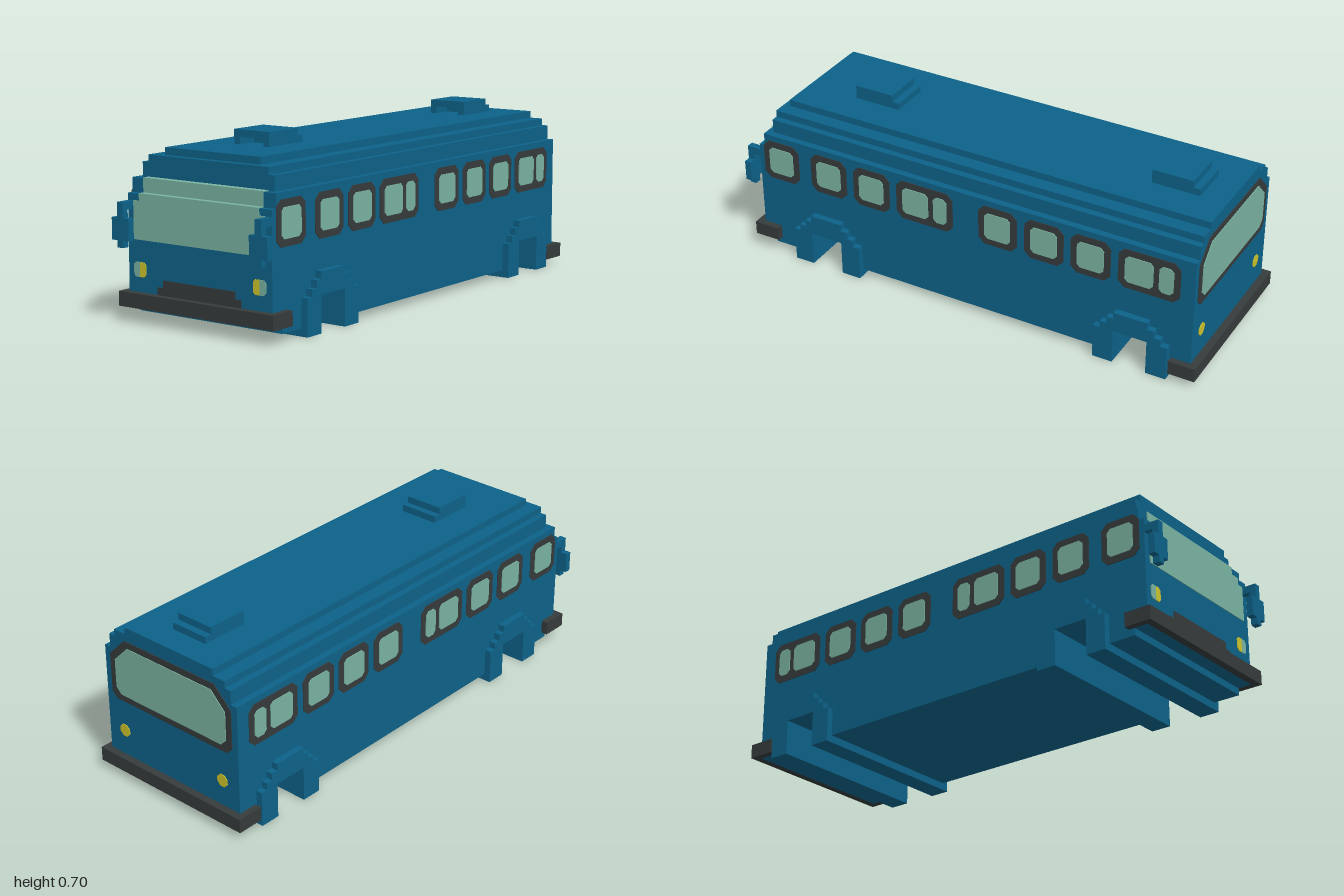
import * as THREE from 'three';

const material = (name, color) => {
  const m = new THREE.MeshStandardMaterial({ color });
  m.name = name;
  return m;
};

export function createModel() {
  const bus = new THREE.Group();
  bus.name = 'bus';
  const blue = material('blue paint', 0x0d6289);
  const glass = material('pale green glass', 0x7ab3a1);
  const dark = material('dark trim', 0x363b3b);
  const yellow = material('yellow lamp', 0xcdc52c);

  const add = (name, geometry, mat) => {
    const mesh = new THREE.Mesh(geometry, mat);
    mesh.name = name;
    bus.add(mesh);
    return mesh;
  };
  // Box given by its limits on each axis
  const box = (name, mat, x0, x1, y0, y1, z0, z1) => {
    const mesh = add(name, new THREE.BoxGeometry(x1 - x0, y1 - y0, z1 - z0), mat);
    mesh.position.set((x0 + x1) / 2, (y0 + y1) / 2, (z0 + z1) / 2);
    return mesh;
  };
  const extrude = (points, depth) => new THREE.ExtrudeGeometry(
    new THREE.Shape(points.map(([x, y]) => new THREE.Vector2(x, y))),
    { depth, bevelEnabled: false });
  // Side profile (z, y) extruded across the width
  const across = (name, points, halfWidth) => {
    const mesh = add(name, extrude(points, 2 * halfWidth), blue);
    mesh.rotation.y = -Math.PI / 2;
    mesh.position.x = halfWidth;
    return mesh;
  };
  // Rectangle with clipped corners, centred on the origin
  const clipped = (w, h, c) => {
    const a = w / 2, b = h / 2;
    return [[-a + c, -b], [a - c, -b], [a, -b + c], [a, b - c],
      [a - c, b], [-a + c, b], [-a, b - c], [-a, -b + c]];
  };
  const plate = (name, mat, points, thickness, x, y, z, turn = 0) => {
    const mesh = add(name, extrude(points, thickness), mat);
    mesh.position.set(x, y, z);
    mesh.rotation.y = turn;
  };

  // Lower body with stepped nose and two wheel tunnels
  const wheels = [0.622, -0.73];
  const [f, r] = wheels;
  const notch = 0.085;
  across('body', [
    [-0.97, 0.03], [r - notch, 0.03], [r - notch, 0.17], [r + notch, 0.17], [r + notch, 0.03],
    [f - notch, 0.03], [f - notch, 0.17], [f + notch, 0.17], [f + notch, 0.03],
    [0.885, 0.03], [0.885, 0.07], [0.94, 0.07], [0.94, 0.48], [0.915, 0.48],
    [0.915, 0.535], [-0.97, 0.535]], 0.338);

  // Stepped roof
  box('lowerRoof', blue, -0.31, 0.31, 0.535, 0.592, -0.97, 0.888);
  box('middleRoof', blue, -0.282, 0.282, 0.592, 0.62, -0.97, 0.888);
  box('upperRoof', blue, -0.225, 0.225, 0.62, 0.648, -0.97, 0.86);

  // Wheel arches, full width, stepped outline
  const arch = [[0.07, 0], [0.07, 0.143], [-0.07, 0.143], [-0.07, 0]];
  const steps = [[0.153, 0], [0.153, 0.143], [0.125, 0.143], [0.125, 0.171], [0.098, 0.171],
    [0.098, 0.2], [0.07, 0.2], [0.07, 0.228]];
  const outline = [...arch, ...steps.map(([z, y]) => [-z, y]), ...steps.slice().reverse()];
  for (const z of wheels) across('wheelArch', outline, 0.365).position.z = z;

  // Roof vents, open at the front with a low step behind
  for (const z of [0.635, -0.665]) {
    box('ventTop', blue, -0.083, 0.083, 0.676, 0.704, z - 0.168, z);
    box('ventBack', blue, -0.083, 0.083, 0.648, 0.676, z - 0.197, z - 0.08);
    for (const s of [-1, 1]) {
      box('ventSide', blue, s * 0.069 - 0.014, s * 0.069 + 0.014, 0.648, 0.676, z - 0.08, z);
    }
  }

  // Bumpers wrapping round the corners
  const bumper = (name, y0, y1, outer, face, end) => {
    box(name, dark, -0.365, 0.365, y0, y1, Math.min(outer, face), Math.max(outer, face));
    for (const s of [-1, 1]) {
      box(name + 'End', dark, s * 0.3515 - 0.0135, s * 0.3515 + 0.0135, y0, y1,
        Math.min(face, end), Math.max(face, end));
    }
  };
  bumper('frontBumper', 0.058, 0.114, 0.97, 0.94, 0.86);
  bumper('rearBumper', 0.03, 0.087, -1, -0.97, -0.89);
  box('noseUnderside', blue, -0.338, 0.338, 0.058, 0.075, 0.88, 0.94);

  // Windscreen panes and the glazed ledges between them
  const t = 0.003;
  box('windscreen', glass, -0.31, 0.31, 0.31, 0.455, 0.938, 0.94 + t);
  box('windscreenMiddle', glass, -0.282, 0.282, 0.455, 0.48 + t, 0.914, 0.94 + t);
  box('windscreenTop', glass, -0.282, 0.282, 0.48, 0.535 + t, 0.887, 0.915 + t);

  // Grille
  box('grilleLower', dark, -0.198, 0.198, 0.114, 0.143, 0.938, 0.94 + t);
  box('grilleUpper', dark, -0.17, 0.17, 0.143, 0.171, 0.938, 0.94 + t);

  // Headlights, half lamp and half glass, tail lights and mirrors
  for (const s of [-1, 1]) {
    const half = (d) => {
      const p = [[0, -0.028], [d * 0.02, -0.028], [d * 0.029, -0.018],
        [d * 0.029, 0.018], [d * 0.02, 0.028], [0, 0.028]];
      return d > 0 ? p : p.reverse();
    };
    plate('headlightLamp', yellow, half(-s), t, s * 0.282, 0.199, 0.94);
    plate('headlightGlass', glass, half(s), t, s * 0.282, 0.199, 0.94);
    plate('tailLight', yellow, clipped(0.05, 0.05, 0.015), t, s * 0.255, 0.195, -0.97, Math.PI);

    const x = s * 0.324;
    box('mirrorArm', blue, x - 0.014, x + 0.014, 0.423, 0.453, 0.94, 1);
    box('mirrorStem', blue, x - 0.014, x + 0.014, 0.284, 0.423, 0.973, 1);
    for (const d of [-1, 1]) {
      const c = x + d * 0.0275;
      box('mirrorWing', blue, c - 0.0135, c + 0.0135, 0.311, 0.395, 0.973, 1);
    }
  }

  // Side windows: frame limits, then limits of each pane, along z
  const single = (z) => ({ frame: [z - 0.083, z + 0.083], panes: [[z - 0.056, z + 0.056]] });
  const double = (z) => ({
    frame: [z - 0.126, z + 0.126],
    panes: [[z - 0.018, z + 0.098], [z - 0.1, z - 0.041]],
  });
  const windows = [single(0.835), single(0.611), single(0.412), double(0.171),
    single(-0.152), single(-0.351), single(-0.547), double(-0.787)];
  for (const s of [-1, 1]) {
    const side = (name, mat, [z0, z1], h, c, thickness) => plate(name, mat,
      clipped(z1 - z0, h, c), thickness, s * 0.338, 0.425, (z0 + z1) / 2, s * Math.PI / 2);
    for (const { frame, panes } of windows) {
      side('sideWindowFrame', dark, frame, 0.17, 0.025, t);
      for (const pane of panes) side('sideWindowGlass', glass, pane, 0.114, 0.014, 2 * t);
    }
  }

  // Rear window with sloped upper corners
  const rear = (w, bottom, shoulder, flat, top) => [
    [-w + 0.025, bottom], [w - 0.025, bottom], [w, bottom + 0.025], [w, shoulder],
    [flat, top], [-flat, top], [-w, shoulder], [-w, bottom + 0.025]];
  plate('rearWindowFrame', dark, rear(0.31, 0.325, 0.51, 0.23, 0.59), t, 0, 0, -0.97, Math.PI);
  plate('rearWindowGlass', glass, rear(0.283, 0.352, 0.495, 0.215, 0.563), 2 * t, 0, 0, -0.97, Math.PI);

  return bus;
}
